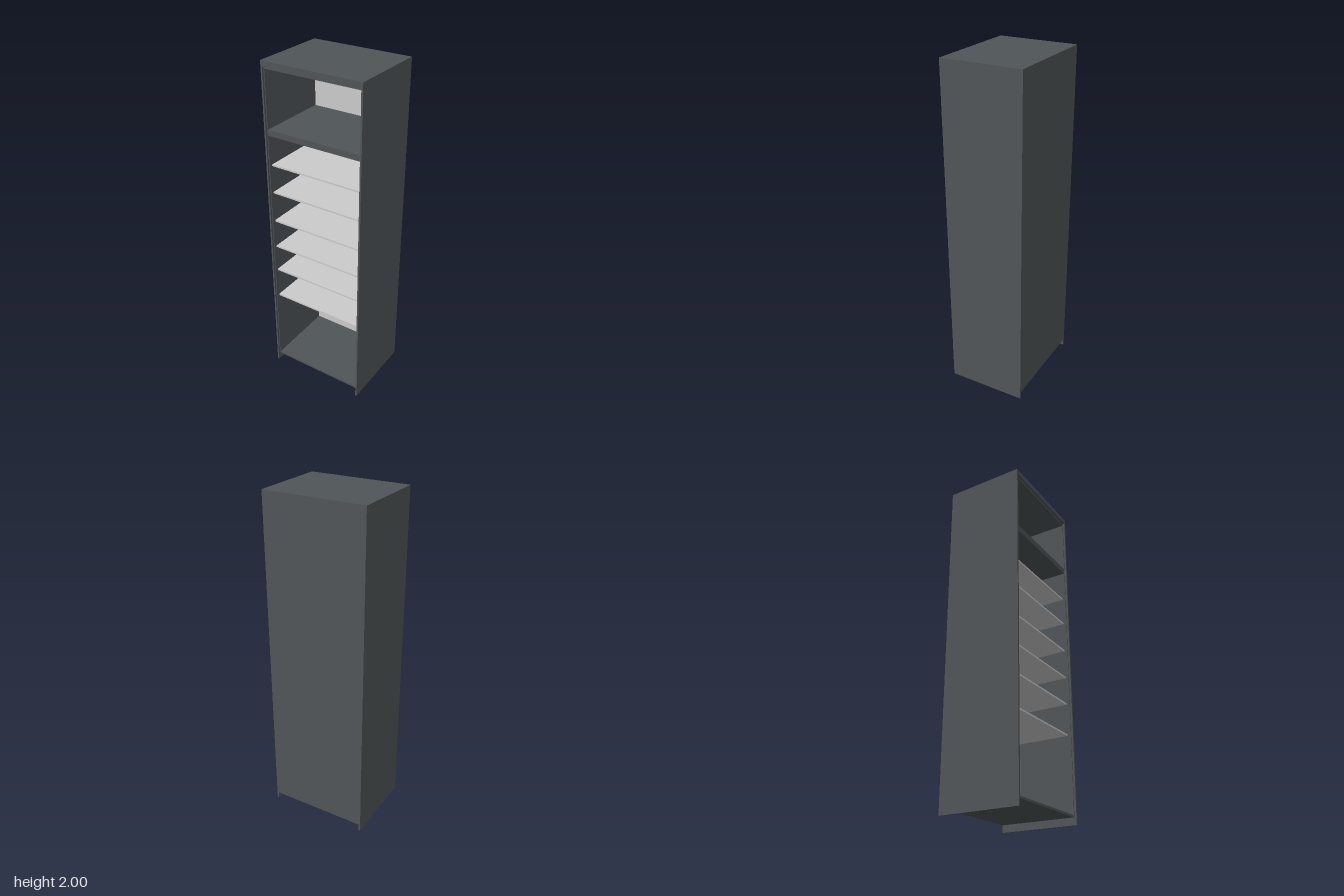
import * as THREE from 'three';

const dark = new THREE.MeshStandardMaterial({ color: 0x505558 });
const grey = new THREE.MeshStandardMaterial({ color: 0xcccccc });

const W = 0.306, D = 0.238, H = 2; // half width, half depth, height
const SIDE = 0.01, INNER = 0.292; // side thickness, half width of the interior
const BASE = 0.043; // underside of the floor panel
const BACK = -0.218; // inner face of the back

export function createModel() {
  const group = new THREE.Group();

  // box given by its lower and upper limits on each axis
  const panel = (name, material, [x0, x1], [y0, y1], [z0, z1]) => {
    const mesh = new THREE.Mesh(new THREE.BoxGeometry(x1 - x0, y1 - y0, z1 - z0), material);
    mesh.position.set((x0 + x1) / 2, (y0 + y1) / 2, (z0 + z1) / 2);
    mesh.name = name;
    group.add(mesh);
  };

  // outer sides reach the floor; slightly recessed liners stop at the base
  for (const [side, s] of [['left', 1], ['right', -1]]) {
    const span = (a, b) => (s > 0 ? [a, b] : [-b, -a]);
    panel(side + 'Side', dark, span(W - SIDE, W), [0, H], [-D, D]);
    panel(side + 'Liner', dark, span(INNER, W - SIDE), [BASE, 1.965], [BACK, D - 0.012]);
  }

  // top board with recessed liner, back and floor
  const between = [SIDE - W, W - SIDE];
  const inside = [-INNER, INNER];
  panel('top', dark, between, [1.967, H], [-D, D]);
  panel('topLiner', dark, inside, [1.955, 1.967], [BACK, D - 0.012]);
  panel('back', dark, between, [BASE, 1.967], [-D, BACK - 0.005]);
  panel('backLiner', grey, inside, [0.055, 1.955], [BACK - 0.005, BACK]);
  panel('floor', dark, inside, [BASE, 0.055], [BACK - 0.005, D - 0.015]);

  // thick divider below the upper compartment
  panel('divider', dark, inside, [1.585, 1.62], [BACK, D - 0.015]);

  // thin shelves
  for (const y of [0.51, 0.7, 0.868, 1.044, 1.23, 1.402]) {
    panel('shelf', grey, inside, [y - 0.005, y + 0.005], [BACK, 0.205]);
  }

  return group;
}
